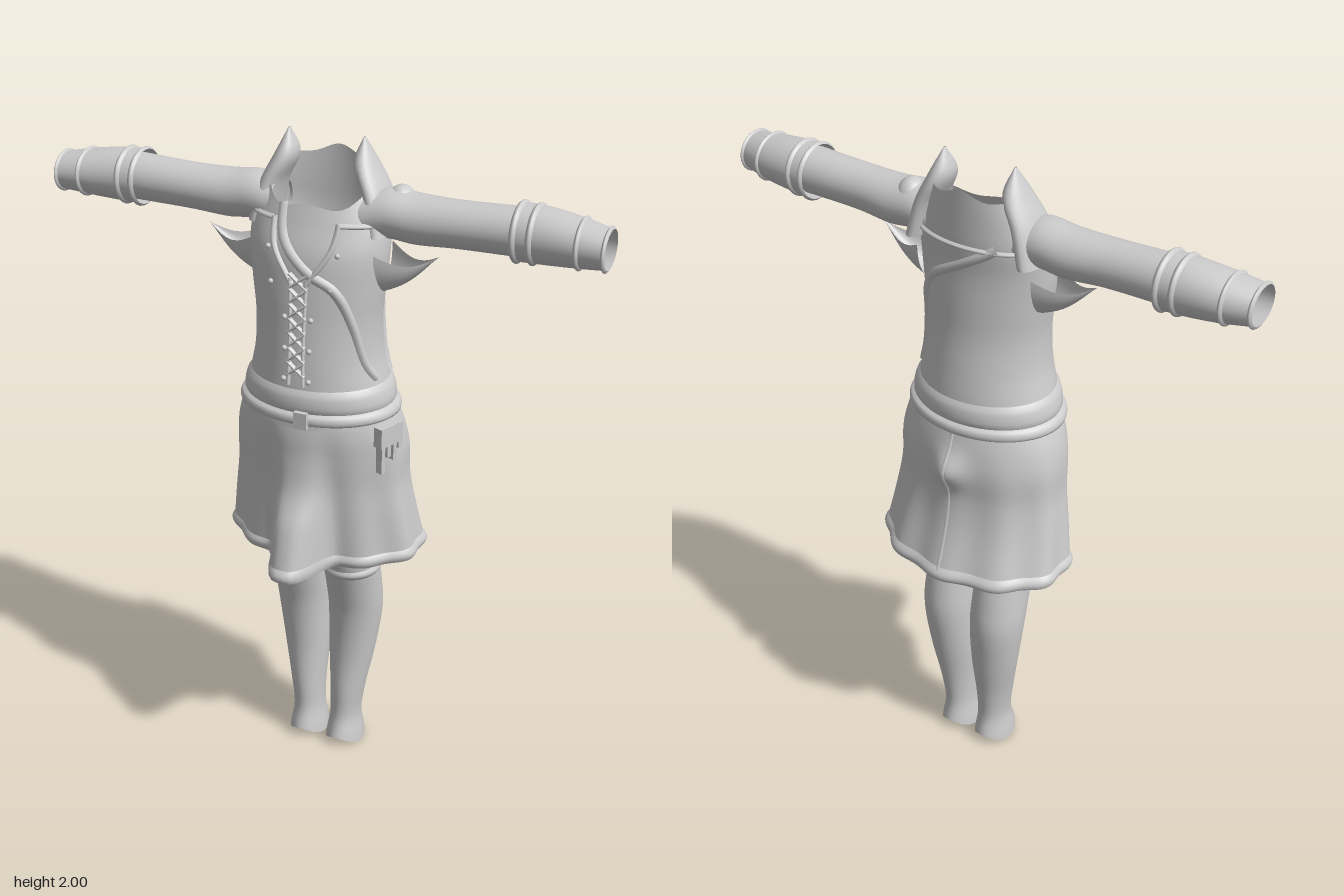
import * as THREE from 'three';

const cloth = new THREE.MeshStandardMaterial({ color: 0xcccccc, side: THREE.DoubleSide });
cloth.name = 'cloth';

// Surface from fn(u, v) -> [x, y, z]; u may close into a ring
function sheet(name, nu, nv, fn, closed = true) {
  const pos = [], idx = [], cols = closed ? nu : nu + 1;
  for (let j = 0; j <= nv; j++)
    for (let i = 0; i < cols; i++) pos.push(...fn(i / nu, j / nv));
  for (let j = 0; j < nv; j++)
    for (let i = 0; i < nu; i++) {
      const k = (i + 1) % cols, a = j * cols + i, b = j * cols + k;
      idx.push(a, b, b + cols, a, b + cols, a + cols);
    }
  const g = new THREE.BufferGeometry();
  g.setAttribute('position', new THREE.Float32BufferAttribute(pos, 3));
  g.setIndex(idx);
  g.computeVertexNormals();
  return mesh(name, g);
}
function mesh(name, geo, x = 0, y = 0, z = 0) {
  const m = new THREE.Mesh(geo, cloth);
  m.name = name;
  m.position.set(x, y, z);
  return m;
}
// Read a table of rows at key k, with rounded slopes between rows
function at(rows, k) {
  let i = 0;
  while (i < rows.length - 2 && k > rows[i + 1][0]) i++;
  const a = rows[i], b = rows[i + 1], p = rows[i - 1] ?? a, q = rows[i + 2] ?? b;
  const h = b[0] - a[0], t = THREE.MathUtils.clamp((k - a[0]) / h, 0, 1), t2 = t * t, t3 = t2 * t;
  return a.slice(1).map((v, n) => {
    n++;
    const m0 = (b[n] - p[n]) / (b[0] - p[0]) * h, m1 = (q[n] - a[n]) / (q[0] - a[0]) * h;
    return (2 * t3 - 3 * t2 + 1) * v + (t3 - 2 * t2 + t) * m0 + (3 * t2 - 2 * t3) * b[n] + (t3 - t2) * m1;
  });
}
const mix = THREE.MathUtils.lerp, TAU = Math.PI * 2;

// Torso: height, half width, front z, back z
const torso = [
  [1.2, 0.232, 0.176, -0.18], [1.32, 0.205, 0.17, -0.17], [1.4, 0.188, 0.165, -0.158], [1.5, 0.185, 0.157, -0.142],
  [1.6, 0.196, 0.15, -0.135], [1.7, 0.205, 0.138, -0.13], [1.78, 0.2, 0.108, -0.135],
  [1.84, 0.175, 0.085, -0.135], [1.96, 0.125, 0.04, -0.135],
];
function onTorso(t, y, off = 0) {
  const [rx, zf, zb] = at(torso, y);
  return [(rx + off) * Math.sin(t), y, (zf + zb) / 2 + ((zf - zb) / 2 + off) * Math.cos(t)];
}
// Flat strap following the torso through [angle, height] points
function strap(name, points, width, n = 36, off = 0.008) {
  const c = new THREE.CatmullRomCurve3(points.map(([t, y]) => new THREE.Vector3(t * 0.18, y, 0)));
  return sheet(name, 4, n, (u, v) => {
    const p = c.getPoint(v), d = c.getTangent(v), w = (u - 0.5) * width;
    return onTorso((p.x - d.y * w) / 0.18, p.y + d.x * w, u === 0 || u === 1 ? 0 : off);
  }, false);
}
// Band round the torso with a rounded edge
const band = (name, y0, y1, off) => sheet(name, 64, 6, (u, v) =>
  onTorso(u * TAU, mix(y0, y1, v), off * Math.pow(Math.sin(v * Math.PI), 0.4)));

// Skirt: height, half width, front z, back z, depth of front pleat
const skirtRows = [
  [0.75, 0.298, 0.145, -0.268, 0.133], [0.9, 0.277, 0.148, -0.218, 0.09], [1.0, 0.264, 0.152, -0.2, 0.042],
  [1.1, 0.262, 0.162, -0.2, 0.018], [1.17, 0.25, 0.17, -0.19, 0.008], [1.24, 0.225, 0.17, -0.172, 0],
];
function onSkirt(t, y, off = 0) {
  const [rx, zf, zb, pleat] = at(skirtRows, y);
  const low = THREE.MathUtils.clamp((1.2 - y) / 0.45, 0, 1);
  const r = off + 0.007 * low * Math.cos(10 * t);
  const x = (rx + r) * Math.sin(t), c = Math.cos(t);
  let z = (zf + zb) / 2 + ((zf - zb) / 2 + r) * c;
  if (c > 0) z += pleat * Math.exp(-Math.pow(x / 0.078, 4));
  else z -= 0.032 * Math.exp(-Math.pow(x / 0.05, 2) - Math.pow((y - 1.1) / 0.05, 2));
  return [x, y, z];
}

// Leg: height, inner x, outer x, front z, back z
const legRows = [
  [0, 0.004, 0.122, 0.03, -0.14], [0.04, 0.008, 0.118, 0.025, -0.135], [0.1, 0.016, 0.11, 0.006, -0.122],
  [0.2, 0.014, 0.122, 0.005, -0.13], [0.35, 0.004, 0.15, 0, -0.152], [0.5, 0.002, 0.17, 0.01, -0.164],
  [0.6, 0.002, 0.172, 0.035, -0.148], [0.68, 0.002, 0.172, 0.06, -0.128], [0.75, 0.002, 0.17, 0.076, -0.125], [0.92, 0.002, 0.17, 0.08, -0.13],
];
function onLeg(t, y, off = 0) {
  const [x0, x1, zf, zb] = at(legRows, y);
  return [(x0 + x1) / 2 + ((x1 - x0) / 2 + off) * Math.sin(t), y, (zf + zb) / 2 + ((zf - zb) / 2 + off) * Math.cos(t)];
}

// Arm: x, bottom y, top y, back z, front z
const armRows = [
  [0.13, 1.72, 1.86, -0.095, 0.06], [0.2, 1.735, 1.873, -0.1, 0.055], [0.28, 1.728, 1.866, -0.1, 0.052],
  [0.4, 1.735, 1.865, -0.09, 0.05], [0.58, 1.738, 1.872, -0.092, 0.05],
];
const cuffRows = [
  [0.56, 1.725, 1.883, -0.104, 0.058], [0.64, 1.728, 1.88, -0.1, 0.06], [0.73, 1.735, 1.868, -0.088, 0.064], [0.82, 1.745, 1.852, -0.062, 0.064],
];
function tubeX(name, rows, x0, x1, n, off = () => 0) {
  return sheet(name, 32, n, (u, v) => {
    const x = mix(x0, x1, v), [y0, y1, z0, z1] = at(rows, x), t = u * TAU, o = off(v);
    return [x, (y0 + y1) / 2 + ((y1 - y0) / 2 + o) * Math.cos(t), (z0 + z1) / 2 + ((z1 - z0) / 2 + o) * Math.sin(t)];
  });
}

// Collar lobe: height, centre x, half width x, centre z, half width z
const lobeRows = [
  [1.75, 0.18, 0.035, -0.03, 0.09], [1.85, 0.155, 0.034, -0.035, 0.075], [1.93, 0.118, 0.032, -0.04, 0.052], [2.0, 0.112, 0.002, -0.04, 0.004],
];

// Parts of the left side, mirrored for the right
function side(name) {
  const g = new THREE.Group();
  g.name = name;
  g.add(sheet('leg', 32, 40, (u, v) => {
    const t = u * TAU, low = 0.005 + 0.035 * Math.cos(t) ** 2;
    return onLeg(t, mix(low, 0.92, v));
  }));
  g.add(sheet('stockingBand', 32, 6, (u, v) => onLeg(u * TAU, mix(0.655, 0.685, v), 0.007 * Math.sin(v * Math.PI))));
  g.add(tubeX('sleeve', armRows, 0.13, 0.58, 24));
  g.add(tubeX('cuff', cuffRows, 0.56, 0.82, 16));
  for (const [x, w] of [[0.56, 0.018], [0.605, 0.018], [0.735, 0.014], [0.808, 0.012]])
    g.add(tubeX('cuffBand', cuffRows, x, x + w, 6, v => 0.007 * Math.sin(v * Math.PI)));
  g.add(sheet('collarLobe', 24, 16, (u, v) => {
    const y = mix(1.75, 2, v), [cx, rx, cz, rz] = at(lobeRows, y), t = u * TAU;
    return [cx + rx * Math.sin(t), y, cz + rz * Math.cos(t)];
  }));
  // Pointed flap below the arm, a trough that narrows to its tip
  g.add(sheet('pointedFlap', 16, 10, (u, v) => {
    const a = (u - 0.5) * Math.PI, s = 1 - v;
    return [mix(0.185, 0.35, v), 1.705 - 0.03 * Math.sin(v * Math.PI) - 0.125 * s ** 1.3 * Math.cos(a), -0.005 + 0.07 * s * Math.sin(a)];
  }, false));
  // Eyelets beside the lacing
  for (const [x, y] of [[0.095, 1.71], [0.085, 1.615], [0.04, 1.525], [0.038, 1.435], [0.036, 1.345]])
    g.add(mesh('eyelet', new THREE.SphereGeometry(0.008, 10, 8), ...onTorso(Math.asin(x / 0.19), y, 0.002)));
  g.add(strap('necklineTrim', [[0.5, 1.79], [0.42, 1.72], [0.2, 1.65], [0.1, 1.62]], 0.016));
  g.add(strap('frontEdge', [[0.12, 1.64], [0.11, 1.5], [0.11, 1.33]], 0.01));
  return g;
}

export function createModel() {
  const model = new THREE.Group();
  model.name = 'outfit';

  // Bodice and the high back neck
  model.add(sheet('bodice', 64, 36, (u, v) => onTorso(u * TAU, mix(1.2, 1.785, v))));
  model.add(sheet('neckCollar', 64, 10, (u, v) => {
    const t = u * TAU, top = 1.878 - 0.055 * Math.cos(t) + 0.008 * Math.cos(6 * t);
    return onTorso(t, mix(1.77, top, v), -0.004);
  }));
  model.add(strap('bodiceTopTrim', [[0.5, 1.785], [1.6, 1.78], [3.14, 1.78], [4.7, 1.78], [5.78, 1.785]], 0.014, 70));

  // Belts
  model.add(band('upperBelt', 1.245, 1.318, 0.01), band('lowerBelt', 1.212, 1.252, 0.016));
  model.add(mesh('buckle', new THREE.BoxGeometry(0.04, 0.05, 0.014), 0.025, 1.235, 0.19));

  // Skirt and rolled hem
  model.add(sheet('skirt', 120, 30, (u, v) => onSkirt(u * TAU, mix(0.755, 1.24, v))));
  model.add(sheet('hem', 120, 8, (u, v) => onSkirt(u * TAU, mix(0.747, 0.785, v), 0.008 * Math.sin(v * Math.PI))));
  const seam = n => sheet(n, 2, 20, (u, v) => {
    const p = onSkirt(Math.PI + (u - 0.5) * 0.04, mix(0.76, 1.22, v));
    return [p[0], p[1], p[2] - (u === 0.5 ? 0.006 : 0)];
  }, false);
  model.add(seam('backSeam'));

  // Left and right halves
  const right = side('rightSide');
  right.scale.x = -1;
  model.add(side('leftSide'), right);
  const puff = mesh('shoulderKnot', new THREE.SphereGeometry(0.05, 20, 14), 0.225, 1.825, -0.035);
  puff.scale.set(0.9, 1.15, 1);
  model.add(puff);

  // Crossed lacing down the front
  for (let i = 0; i < 7; i++) {
    const y = 1.36 + i * 0.042;
    for (const s of [-1, 1])
      model.add(strap('lace', [[-0.13 * s, y], [0, y + 0.02], [0.13 * s, y + 0.04]], 0.009, 6, 0.01));
  }

  // Strap over the right shoulder and round the left hip
  model.add(strap('frontStrap', [[-0.42, 1.83], [-0.28, 1.74], [0.1, 1.66], [0.52, 1.61], [0.9, 1.5], [1.15, 1.38], [1.3, 1.34]], 0.028));
  model.add(strap('backStrap', [[1.85, 1.33], [2.05, 1.48], [2.5, 1.64], [3.1, 1.72], [3.7, 1.79]], 0.026));

  // Pouch with hanging tools on the left hip
  const pouch = new THREE.Group();
  pouch.name = 'pouch';
  pouch.add(mesh('pouchBody', new THREE.BoxGeometry(0.03, 0.06, 0.09), 0, 0, 0));
  [[0.036, 0.13], [0.012, 0.085], [-0.012, 0.1], [-0.034, 0.07]].forEach(([z, h]) =>
    pouch.add(mesh('tool', new THREE.BoxGeometry(0.022, h, 0.014), 0.004, 0.02 - h / 2, z)));
  pouch.position.set(0.243, 1.185, 0.07);
  pouch.rotation.y = -0.35;
  model.add(pouch);

  return model;
}
